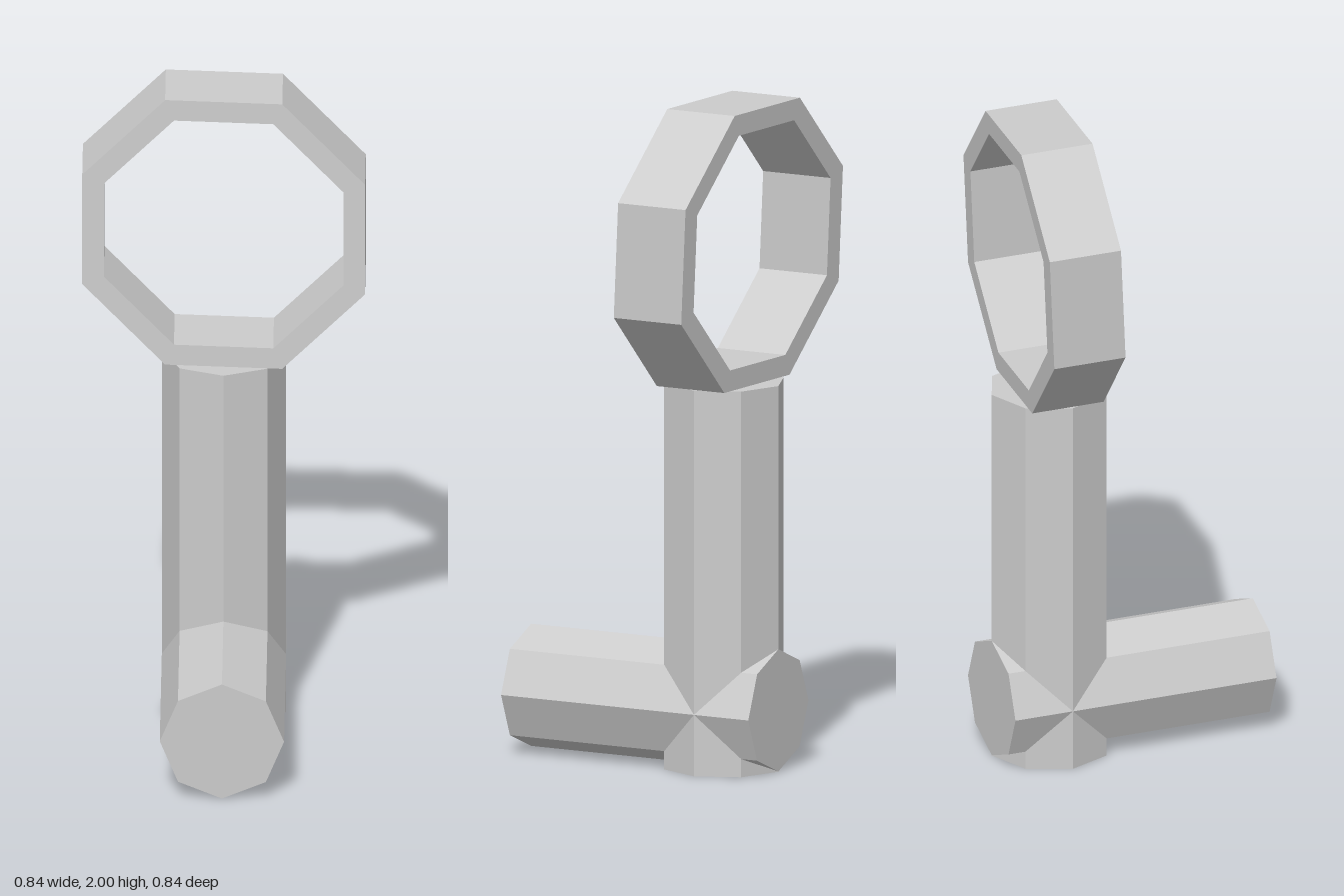
import * as THREE from 'three';

const material = new THREE.MeshStandardMaterial({ color: 0xcccccc, flatShading: true });

// Octagon with flat sides at top and bottom, given its centre-to-side distance
function octagon(target, apothem) {
  const r = apothem / Math.cos(Math.PI / 8);
  const points = [];
  for (let i = 0; i < 8; i++) {
    const a = (i + 0.5) * Math.PI / 4;
    points.push(new THREE.Vector2(r * Math.cos(a), r * Math.sin(a)));
  }
  return target.setFromPoints(points);
}

export function createModel() {
  const group = new THREE.Group();
  const add = (name, geometry, x, y, z) => {
    const mesh = new THREE.Mesh(geometry, material);
    mesh.name = name;
    mesh.position.set(x, y, z);
    group.add(mesh);
    return mesh;
  };

  const radius = 0.184;
  const shaftZ = -0.234;

  // Upright eight-sided shaft
  add('shaft', new THREE.CylinderGeometry(radius, radius, 1.162, 8), 0, 0.581, shaftZ);

  // Horizontal eight-sided bar crossing the foot of the shaft
  const bar = new THREE.CylinderGeometry(radius, radius, 0.836, 8).rotateX(Math.PI / 2);
  add('crossBar', bar, 0, 0.185, 0);

  // Octagonal ring on top, its front and back faces slanted by a slight shear
  const shape = octagon(new THREE.Shape(), 0.419);
  shape.holes.push(octagon(new THREE.Path(), 0.355));
  const ring = new THREE.ExtrudeGeometry(shape, { depth: 0.228, bevelEnabled: false });
  const p = ring.attributes.position;
  for (let i = 0; i < p.count; i++) {
    p.setZ(i, p.getZ(i) + 0.083 * p.getX(i) - 0.042 * p.getY(i));
  }
  ring.computeVertexNormals();
  add('ring', ring, 0, 1.581, -0.363);

  return group;
}
